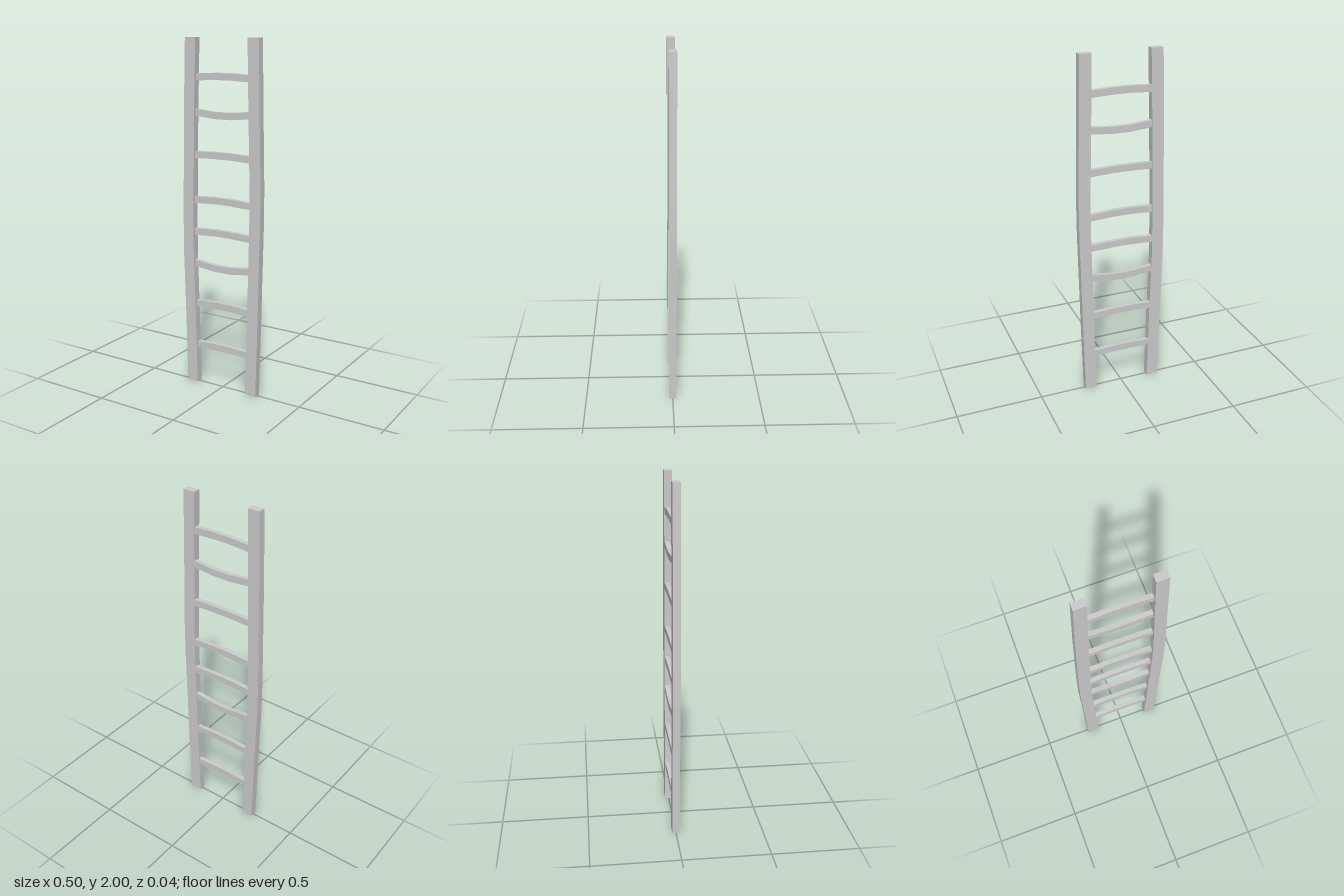
import * as THREE from 'three';

const material = new THREE.MeshStandardMaterial({ color: 0xcccccc, flatShading: true });

// Piecewise-linear lookup through [position, value] pairs
function sample(points, t) {
  for (let i = 1; i < points.length; i++) {
    const [a, va] = points[i - 1], [b, vb] = points[i];
    if (t <= b || i === points.length - 1) return va + (vb - va) * (t - a) / (b - a);
  }
}

// Upright plank whose centre line bows sideways
function makeRail(name, bow) {
  const geometry = new THREE.BoxGeometry(0.068, 2, 0.042, 1, 10, 1);
  geometry.translate(0, 1, 0);
  const p = geometry.attributes.position;
  for (let i = 0; i < p.count; i++) p.setX(i, p.getX(i) + sample(bow, p.getY(i)));
  geometry.computeVertexNormals();
  const rail = new THREE.Mesh(geometry, material);
  rail.name = name;
  return rail;
}

// Crosspiece with a slight rise or sag between its ends
function makeRung(name, left, middle, right) {
  const geometry = new THREE.BoxGeometry(0.39, 0.038, 0.026, 4, 1, 1);
  const bend = [[-0.195, left], [-0.05, middle], [0.05, middle], [0.195, right]];
  const p = geometry.attributes.position;
  for (let i = 0; i < p.count; i++) {
    // the inner cuts sit near the centre, giving a short level middle
    let x = p.getX(i);
    if (Math.abs(x) > 0.01 && Math.abs(x) < 0.15) x = Math.sign(x) * 0.05;
    p.setXYZ(i, x, p.getY(i) + sample(bend, x), p.getZ(i) - 0.006);
  }
  geometry.computeVertexNormals();
  const rung = new THREE.Mesh(geometry, material);
  rung.name = name;
  return rung;
}

export function createModel() {
  const ladder = new THREE.Group();
  ladder.name = 'ladder';

  // Side rails, each bowed outward at its own height
  ladder.add(
    makeRail('leftRail', [[0, 0.197], [0.4, 0.206], [1, 0.217], [1.2, 0.217], [1.6, 0.207], [2, 0.198]]),
    makeRail('rightRail', [[0, -0.198], [0.4, -0.207], [0.8, -0.219], [1, -0.219], [1.6, -0.209], [2, -0.198]])
  );

  // Rungs: heights at the -x end, the middle and the +x end
  const rungs = [
    [0.232, 0.237, 0.232], [0.485, 0.492, 0.485], [0.73, 0.714, 0.732], [0.914, 0.922, 0.916],
    [1.1, 1.108, 1.1], [1.358, 1.363, 1.357], [1.597, 1.583, 1.597], [1.786, 1.794, 1.788]
  ];
  rungs.forEach((heights, i) => ladder.add(makeRung(`rung${i + 1}`, ...heights)));

  return ladder;
}
